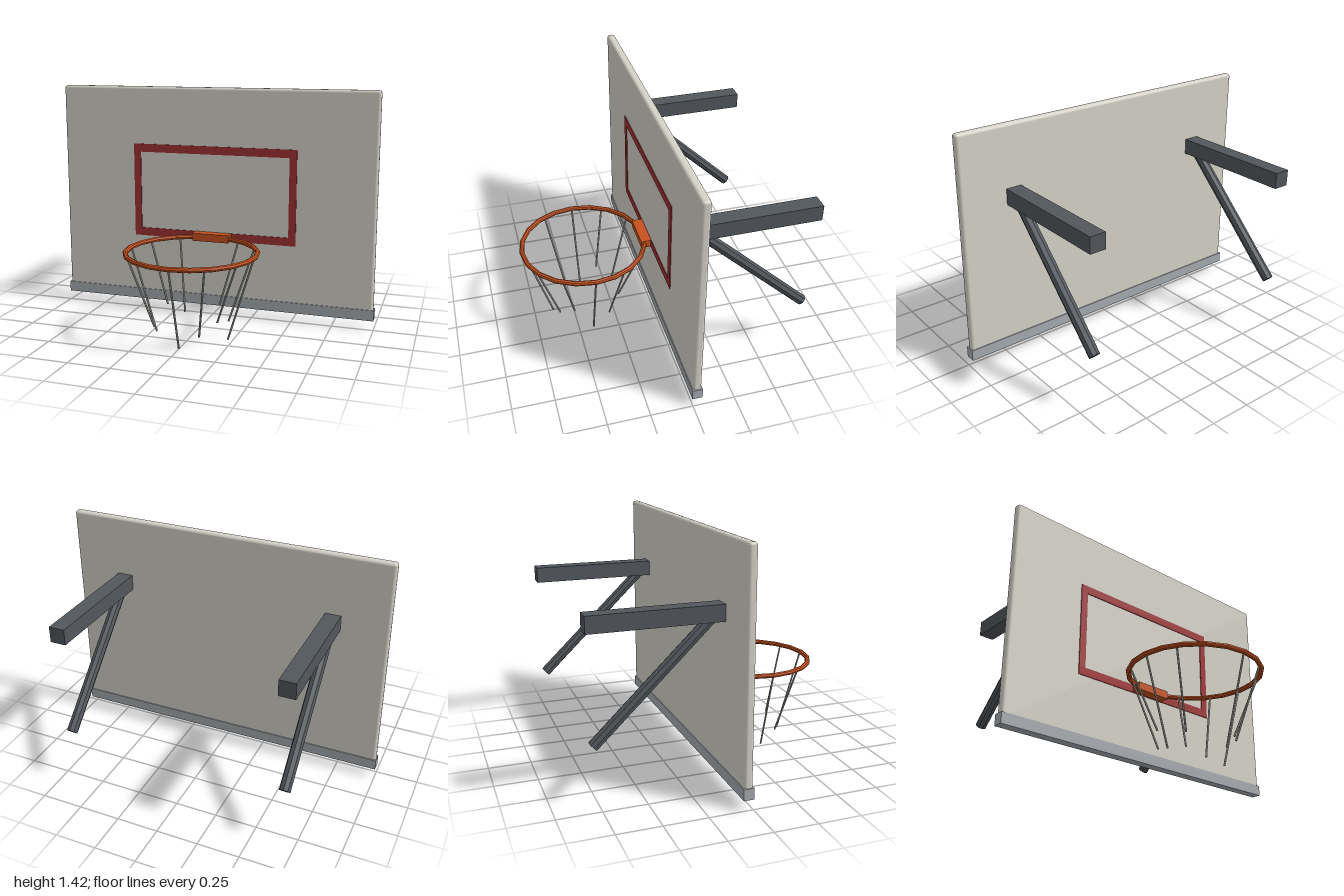
import * as THREE from 'three';
import { RoundedBoxGeometry } from 'three/addons/geometries/RoundedBoxGeometry.js';

function material(name, color, flatShading = false) {
  const m = new THREE.MeshStandardMaterial({ color, flatShading });
  m.name = name;
  return m;
}

export function createModel() {
  const model = new THREE.Group();
  model.name = 'basketballHoop';

  const panel = material('warm grey panel', 0xd6d3c9);
  const padding = material('grey padding', 0xa6acb2);
  const red = material('target red', 0xa03032);
  const orange = material('rim orange', 0xc8521f, true);
  const steel = material('dark steel', 0x52575c, true);
  const cord = material('net cord', 0xb4b4ac, true);

  function add(name, geometry, mat, x = 0, y = 0, z = 0, parent = model) {
    const mesh = new THREE.Mesh(geometry, mat);
    mesh.name = name;
    mesh.position.set(x, y, z);
    parent.add(mesh);
    return mesh;
  }

  // Round bar between two points
  function rod(name, a, b, radius, sides, mat, parent = model) {
    const dir = b.clone().sub(a);
    const mesh = add(name, new THREE.CylinderGeometry(radius, radius, dir.length(), sides), mat, 0, 0, 0, parent);
    mesh.position.copy(a).lerp(b, 0.5);
    mesh.quaternion.setFromUnitVectors(new THREE.Vector3(0, 1, 0), dir.normalize());
    return mesh;
  }

  // Backboard with softened edges and a padded lower edge
  add('backboard', new RoundedBoxGeometry(1.99, 1.33, 0.05, 2, 0.017), panel, 0, 0.755, -0.025);
  add('bottomPadding', new THREE.BoxGeometry(2, 0.065, 0.06), padding, 0, 0.0925, -0.025);

  // Painted target rectangle
  const target = new THREE.Group();
  target.name = 'targetFrame';
  model.add(target);
  for (const y of [0.505, 1.04]) {
    add('targetBar', new THREE.BoxGeometry(1.04, 0.05, 0.006), red, 0, y, 0.002, target);
  }
  for (const side of [-1, 1]) {
    add('targetPost', new THREE.BoxGeometry(0.045, 0.485, 0.006), red, side * 0.4975, 0.7725, 0.002, target);
  }

  // Rim and its mounting bracket
  const rimY = 0.505, rimZ = 0.408;
  const rim = add('rim', new THREE.TorusGeometry(0.38, 0.015, 8, 20), orange, 0, rimY, rimZ);
  rim.rotation.x = Math.PI / 2;
  add('rimBracket', new THREE.BoxGeometry(0.23, 0.048, 0.06), orange, 0, 0.507, 0.035);

  // Net cords, cut to three repeating lengths, with two missing
  const net = new THREE.Group();
  net.name = 'net';
  model.add(net);
  const cordEnds = [0.003, 0.073, 0.14];
  for (let i = 0; i < 12; i++) {
    if (i === 6 || i === 11) continue;
    const angle = (i * Math.PI) / 6;
    const point = (r, y) => new THREE.Vector3(r * Math.sin(angle), y, rimZ + r * Math.cos(angle));
    rod('netCord', point(0.37, 0.495), point(0.22, cordEnds[i % 3]), 0.006, 6, cord, net);
  }

  // Wall arms with diagonal braces
  for (const side of [-1, 1]) {
    const x = side * 0.667;
    add('wallArm', new THREE.BoxGeometry(0.095, 0.095, 0.755), steel, x, 1.007, -0.4275);
    rod('brace', new THREE.Vector3(x, 0.98, -0.108), new THREE.Vector3(x, 0.34, -0.773), 0.033, 8, steel);
  }

  return model;
}
